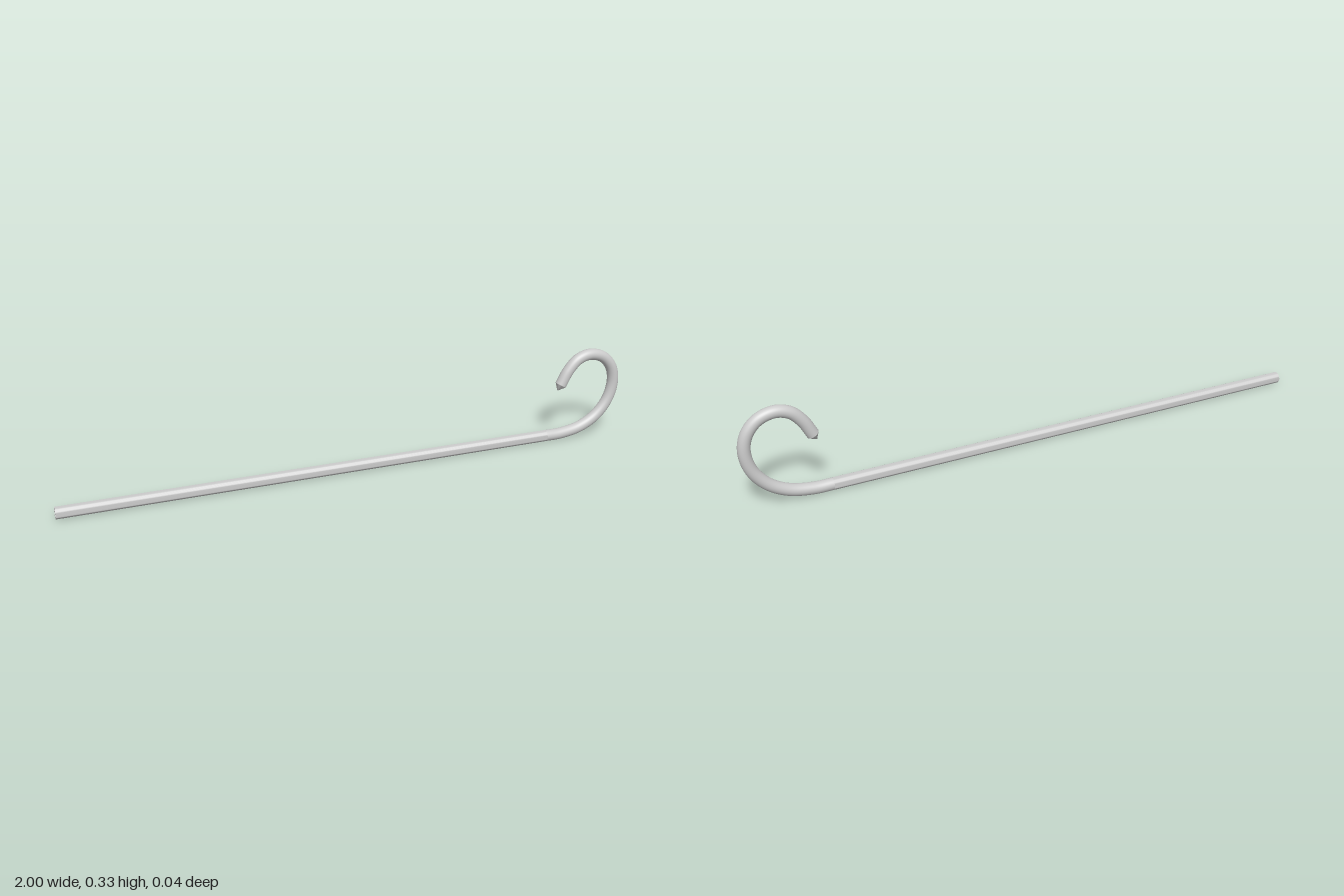
import * as THREE from 'three';
import { toCreasedNormals } from 'three/addons/utils/BufferGeometryUtils.js';

const R = 0.02; // rod radius
const BORE = 0.012; // radius of the hole in the open end
const BEND = 0.72; // x where the straight shaft meets the hook
const SIDES = 32;

export function createModel() {
  const group = new THREE.Group();
  group.name = 'hookedRod';
  const material = new THREE.MeshStandardMaterial({ color: 0xcccccc });
  const add = (name, geometry) => {
    const mesh = new THREE.Mesh(geometry, material);
    mesh.name = name;
    group.add(mesh);
    return mesh;
  };

  // Straight hollow shaft: bore, ring-shaped end, outer wall
  const length = BEND + 1;
  const profile = [[0, length], [BORE, length], [BORE, 0], [R, 0], [R, length]]
    .map(([r, y]) => new THREE.Vector2(r, y));
  const shaft = add('shaft', toCreasedNormals(new THREE.LatheGeometry(profile, SIDES), 0.7));
  shaft.rotation.z = -Math.PI / 2;
  shaft.position.set(-1, R, 0);

  // Curled hook, widening where it leaves the shaft
  const points = [
    [BEND, R], [0.78, 0.021], [0.857, 0.036], [0.921, 0.073], [0.965, 0.131], [0.98, 0.2],
    [0.966, 0.256], [0.928, 0.296], [0.875, 0.31], [0.83, 0.296], [0.795, 0.259], [0.768, 0.209],
  ].map(([x, y]) => new THREE.Vector3(x, y, 0));
  const path = new THREE.CatmullRomCurve3(points, false, 'centripetal');
  add('hook', new THREE.TubeGeometry(path, 96, R, SIDES));

  // Short pointed tip closing the hook
  const tipLength = 0.024;
  const cone = new THREE.ConeGeometry(R, tipLength, SIDES).translate(0, tipLength / 2, 0);
  const tip = add('tip', toCreasedNormals(cone, 0.7));
  tip.position.copy(path.getPoint(1));
  tip.quaternion.setFromUnitVectors(new THREE.Vector3(0, 1, 0), path.getTangent(1));

  return group;
}
